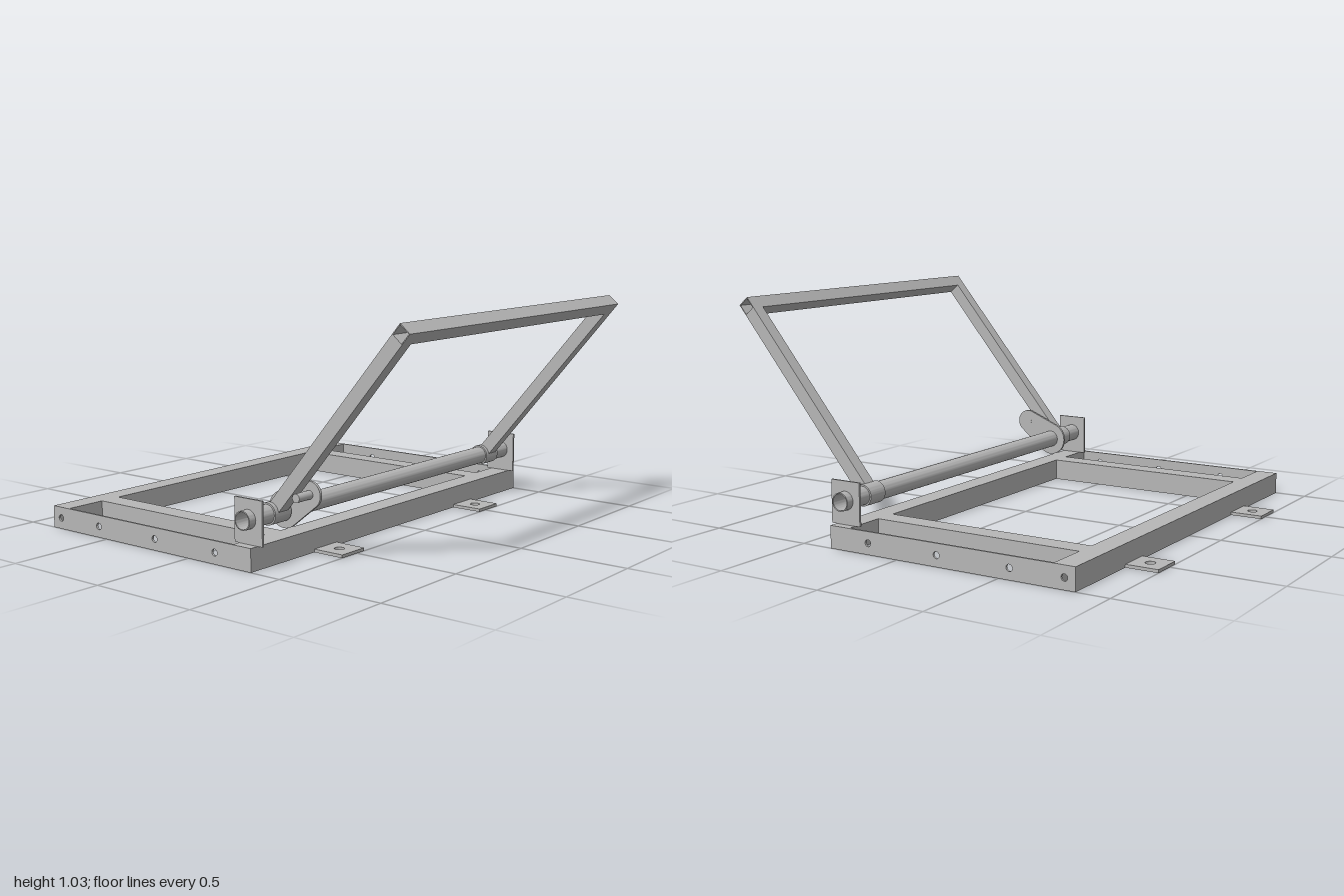
import * as THREE from 'three';
import { toCreasedNormals } from 'three/addons/utils/BufferGeometryUtils.js';

const PIVOT = { y: 0.205, z: 0.3 };
const TILT = THREE.MathUtils.degToRad(40);

export function createModel() {
  const root = new THREE.Group();
  root.name = 'hingedFrame';
  const steel = new THREE.MeshStandardMaterial({ color: 0xb6b6b6 });
  steel.name = 'bare steel';

  function add(name, geometry, parent = root) {
    const mesh = new THREE.Mesh(geometry, steel);
    mesh.name = name;
    parent.add(mesh);
    return mesh;
  }

  // Box given by its limits on each axis
  function box(name, x0, x1, y0, y1, z0, z1, parent) {
    const g = new THREE.BoxGeometry(x1 - x0, y1 - y0, z1 - z0);
    g.translate((x0 + x1) / 2, (y0 + y1) / 2, (z0 + z1) / 2);
    return add(name, g, parent);
  }

  // Profiles are drawn in (-z, y) and extruded along x
  function rect(y0, y1, z0, z1, Type = THREE.Shape) {
    return new Type([[-z1, y0], [-z0, y0], [-z0, y1], [-z1, y1]].map(p => new THREE.Vector2(...p)));
  }
  function circle(y, z, r, Type = THREE.Path) {
    return new Type().absarc(-z, y, r, 0, Math.PI * 2, false);
  }
  function extrudeX(name, shape, holes, x0, x1, parent) {
    shape.holes.push(...holes);
    const g = new THREE.ExtrudeGeometry(shape, { depth: x1 - x0, bevelEnabled: false, curveSegments: 32 });
    g.rotateY(Math.PI / 2);
    g.translate(x0, 0, 0);
    return add(name, toCreasedNormals(g, 0.5), parent);
  }
  function squareTube(name, x0, x1, y0, y1, z0, z1, wall, parent) {
    const bore = rect(y0 + wall, y1 - wall, z0 + wall, z1 - wall, THREE.Path);
    return extrudeX(name, rect(y0, y1, z0, z1), [bore], x0, x1, parent);
  }
  function roundTube(name, x0, x1, outer, inner) {
    const { y, z } = PIVOT;
    return extrudeX(name, circle(y, z, outer, THREE.Shape), [circle(y, z, inner)], x0, x1);
  }

  // Base frame cross beams
  squareTube('rearBeam', -0.99, 0.99, 0, 0.1, -0.85, -0.75, 0.006);
  squareTube('frontBeam', -0.99, 0.99, 0, 0.1, 0.25, 0.35, 0.006);

  // Mounting tab with a bolt hole
  function tab(x, z0, holeZ) {
    const s = new THREE.Shape([[-0.075, -z0 - 0.15], [0.075, -z0 - 0.15], [0.075, -z0], [-0.075, -z0]]
      .map(p => new THREE.Vector2(...p)));
    s.holes.push(new THREE.Path().absarc(0, -holeZ, 0.022, 0, Math.PI * 2, false));
    const g = new THREE.ExtrudeGeometry(s, { depth: 0.014, bevelEnabled: false, curveSegments: 24 });
    g.rotateX(-Math.PI / 2);
    g.translate(x, 0, 0);
    add('mountingTab', toCreasedNormals(g, 0.5));
  }

  // Tilted upper frame, built upright around the pivot
  const upper = new THREE.Group();
  upper.name = 'upperFrame';
  upper.position.set(0, PIVOT.y, PIVOT.z);
  upper.rotation.x = TILT;
  root.add(upper);
  squareTube('topBar', -0.825, 0.825, 0.99, 1.05, -0.03, 0.03, 0.004, upper);

  // Parts repeated on both sides
  for (const s of [-1, 1]) {
    const span = (a, b) => (s > 0 ? [a, b] : [-b, -a]);
    box('longBeam', ...span(0.7, 0.8), 0, 0.1, -0.75, 0.25);
    extrudeX('sidePlate', rect(0, 0.1, -0.85, 0.35),
      [0.15, -0.2, -0.55, -0.8].map(z => circle(0.05, z, 0.015)), ...span(0.99, 1));
    extrudeX('shaftBracket', rect(0.1, 0.29, 0.225, 0.375),
      [circle(PIVOT.y, PIVOT.z, 0.041)], ...span(0.948, 0.958));
    roundTube('hingeSleeve', ...span(0.745, 0.845), 0.048, 0.04);
    box('upperArm', ...span(0.765, 0.825), 0.037, 0.99, -0.03, 0.03, upper);
    tab(s * 0.525, 0.35, 0.425);
    tab(s * 0.525, -1, -0.925);
  }

  // Hollow pivot shaft
  roundTube('pivotShaft', -0.995, 0.995, 0.041, 0.036);

  // Teardrop lever plate: two arcs joined by tangent lines
  const end = { y: 0.286, z: 0.438 }, R = 0.08, r = 0.057;
  const du = PIVOT.z - end.z, dy = end.y - PIVOT.y;
  const dir = Math.atan2(dy, du);
  const spread = Math.acos((R - r) / Math.hypot(du, dy));
  const lever = new THREE.Shape();
  lever.absarc(-end.z, end.y, r, dir - spread, dir + spread, false);
  lever.absarc(-PIVOT.z, PIVOT.y, R, dir + spread, dir - spread + Math.PI * 2, false);
  extrudeX('leverPlate', lever, [circle(PIVOT.y, PIVOT.z, 0.04)], -0.738, -0.725);

  // Pin that pushes against the arm
  const pin = new THREE.CylinderGeometry(0.019, 0.019, 0.1, 32);
  pin.rotateZ(Math.PI / 2);
  add('leverPin', pin).position.set(-0.774, end.y, end.z);

  return root;
}
